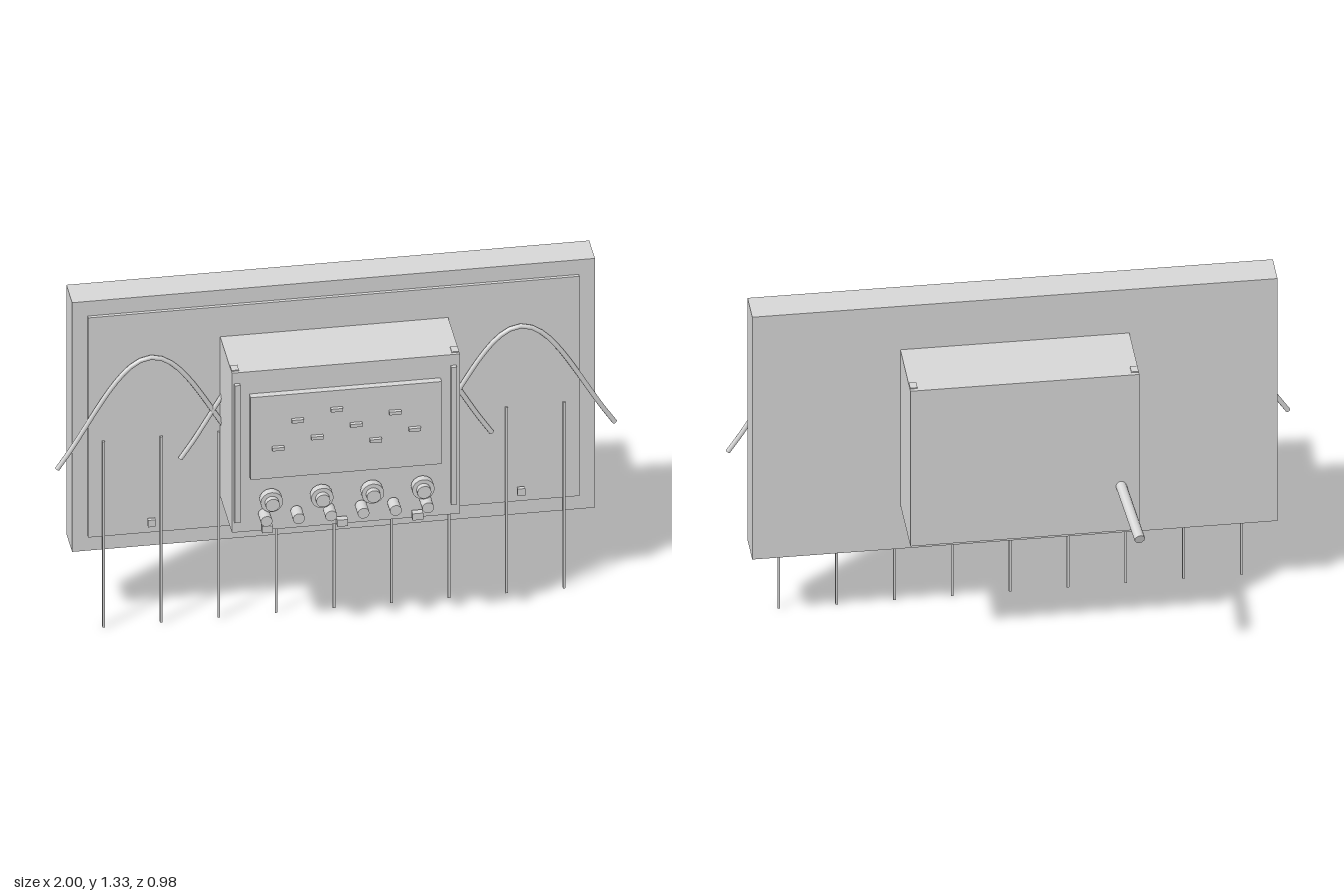
import * as THREE from 'three';

export function createModel() {
  const model = new THREE.Group();
  model.name = 'wallConsole';
  const lightGrey = new THREE.MeshStandardMaterial({ color: 0xd6d6d6 });
  lightGrey.name = 'lightGrey';

  const add = (name, geometry) => {
    const mesh = new THREE.Mesh(geometry, lightGrey);
    mesh.name = name;
    model.add(mesh);
    return mesh;
  };
  // Box given by its lower and upper limits
  const box = (name, x0, x1, y0, y1, z0, z1) =>
    add(name, new THREE.BoxGeometry(x1 - x0, y1 - y0, z1 - z0))
      .position.set((x0 + x1) / 2, (y0 + y1) / 2, (z0 + z1) / 2);
  const boxAt = (name, x, y, w, h, z0, z1) =>
    box(name, x - w / 2, x + w / 2, y - h / 2, y + h / 2, z0, z1);
  // Round knob facing the front
  const disc = (name, x, y, r, z0, z1) => {
    const mesh = add(name, new THREE.CylinderGeometry(r, r, z1 - z0, 16));
    mesh.rotation.x = Math.PI / 2;
    mesh.position.set(x, y, (z0 + z1) / 2);
  };

  // Back board, raised face and main cabinet
  box('board', -0.935, 0.927, 0.307, 1.327, 0.03, 0.154);
  box('boardFace', -0.88, 0.869, 0.368, 1.267, 0.15, 0.167);
  box('cabinet', -0.41, 0.402, 0.491, 1.144, -0.237, 0.42);

  // Cabinet front: side strips and screen
  box('sideStrip', -0.402, -0.382, 0.538, 1.1, 0.415, 0.435);
  box('sideStrip', 0.369, 0.389, 0.538, 1.1, 0.415, 0.435);
  box('screen', -0.348, 0.333, 0.716, 1.053, 0.415, 0.446);

  // Low studs on the cabinet's top corners
  for (const x of [-0.396, 0.388]) {
    for (const z of [0.39, -0.205]) boxAt('cornerStud', x, 1.144, 0.026, 0.008, z - 0.018, z + 0.018);
  }

  // Screen markers
  [0.842, 0.949, 0.874, 0.981, 0.912, 0.842, 0.949, 0.874].forEach((y, i) =>
    boxAt('marker', -0.251 + i * 0.0695, y, 0.043, 0.013, 0.449, 0.463));

  // Two-step dials, small knobs and push buttons
  for (let i = 0; i < 4; i++) {
    const x = -0.275 + i * 0.18;
    disc('dialBase', x, 0.628, 0.04, 0.435, 0.464);
    disc('dialCap', x, 0.628, 0.025, 0.46, 0.485);
  }
  for (let i = 0; i < 6; i++) disc('smallKnob', -0.298 + i * 0.115, 0.568, 0.021, 0.435, 0.492);
  for (let i = 0; i < 3; i++) boxAt('button', -0.29 + i * 0.268, 0.516, 0.038, 0.027, 0.435, 0.46);

  // Overlapping arched cables with a small block below each
  for (let i = 0; i < 4; i++) {
    const cx = -0.658 + i * 0.4387;
    const points = [];
    for (let k = 0; k <= 14; k++) {
      const t = k / 7 - 1;
      const rise = 0.7 * Math.cos(t * Math.PI / 2) + 0.15 * (1 + Math.cos(t * Math.PI));
      points.push(new THREE.Vector3(cx + t * 0.335, 0.668 + 0.425 * rise, 0.182));
    }
    const curve = new THREE.CatmullRomCurve3(points);
    add('archedCable', new THREE.TubeGeometry(curve, 28, 0.009, 8));
    // End caps
    for (const t of [0, 1]) {
      const cap = add('cableEnd', new THREE.CircleGeometry(0.009, 8));
      const p = curve.getPointAt(t);
      cap.position.copy(p);
      cap.lookAt(p.clone().addScaledVector(curve.getTangentAt(t), t ? 1 : -1));
    }
    boxAt('block', cx, 0.421, 0.027, 0.028, 0.182, 0.197);
  }

  // Row of thin square rods hanging below the board
  for (let i = 0; i < 9; i++) boxAt('rod', -0.826 + i * 0.205, 0.38, 0.009, 0.76, 0.168, 0.176);

  // Slanted stub at the back
  const a = new THREE.Vector3(-0.342, 0.687, -0.21);
  const b = new THREE.Vector3(-0.378, 0.616, -0.487);
  const stubGeometry = new THREE.CylinderGeometry(0.019, 0.019, a.distanceTo(b), 10);
  const stub = add('rearStub', stubGeometry);
  stub.position.copy(a).add(b).multiplyScalar(0.5);
  stub.quaternion.setFromUnitVectors(new THREE.Vector3(0, 1, 0), b.clone().sub(a).normalize());

  return model;
}
